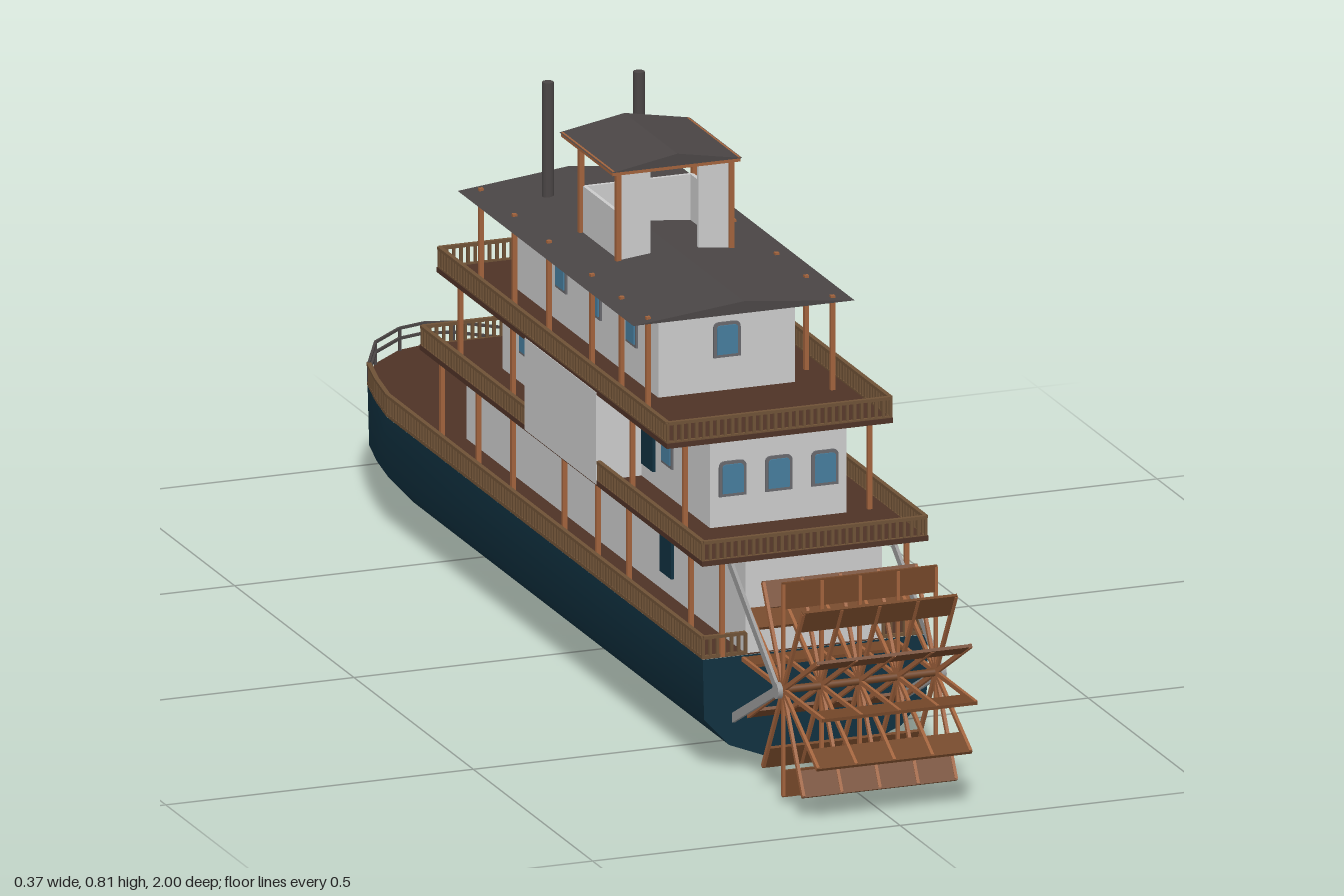
import * as THREE from 'three';
import { mergeGeometries, toCreasedNormals } from 'three/addons/utils/BufferGeometryUtils.js';

const mat = (name, color, side = THREE.FrontSide) => {
  const m = new THREE.MeshStandardMaterial({ color, side });
  m.name = name;
  return m;
};

export function createModel() {
  const M = {
    hull: mat('navy', 0x10303f),
    metal: mat('grey metal', 0x9a9a9a),
    wall: mat('pale wall', 0xcacaca),
    deck: mat('deck brown', 0x4e3226),
    roof: mat('roof charcoal', 0x4a4545),
    wood: mat('orange wood', 0xa0623c),
    blade: mat('paddle brown', 0x724628),
    rail: mat('railing brown', 0x6e5136),
    glass: mat('window blue', 0x467c9c),
    frame: mat('frame grey', 0x68686c),
  };
  const model = new THREE.Group();
  model.name = 'paddleSteamer';

  const add = (name, geo, material, parent = model) => {
    const m = new THREE.Mesh(geo, material);
    m.name = name;
    parent.add(m);
    return m;
  };
  // Box given by its limits on each axis
  const box = (x0, x1, y0, y1, z0, z1) =>
    new THREE.BoxGeometry(x1 - x0, y1 - y0, z1 - z0).translate((x0 + x1) / 2, (y0 + y1) / 2, (z0 + z1) / 2);
  // Square bar between two points
  const bar = (a, b, w, h = w) => {
    const d = new THREE.Vector3().subVectors(b, a);
    const g = new THREE.BoxGeometry(w, h, d.length());
    const o = new THREE.Object3D();
    o.position.copy(a).addScaledVector(d, 0.5);
    o.lookAt(b);
    o.updateMatrix();
    return g.applyMatrix4(o.matrix);
  };
  const V = (x, y, z) => new THREE.Vector3(x, y, z);

  // Hull: plan outlines stacked by height
  const plan = [[1, 0.645], [1, -0.1], [1, -0.68], [0.93, -0.76], [0.83, -0.84], [0.57, -0.935], [0.24, -0.988], [0, -1]];
  const outline = (w, tip) => {
    const half = plan.map(([f, z]) => [f * w, z < -0.68 ? -0.68 + (z + 0.68) * (-tip - 0.68) / 0.32 : z]);
    return [...half, ...half.slice(0, -1).reverse().map(([x, z]) => [-x, z])];
  };
  const levels = [[0, 0.04, -0.92], [0.04, 0.14, -0.955], [0.085, 0.181, -0.995], [0.18, 0.183, -1]];
  const rings = levels.map(([y, w, tip]) => outline(w, tip).map(([x, z]) => [x, y, z]));
  const n = rings[0].length, pos = [];
  for (let l = 0; l < rings.length - 1; l++) {
    for (let i = 0; i < n; i++) {
      const j = (i + 1) % n, a = rings[l][i], b = rings[l][j], c = rings[l + 1][j], d = rings[l + 1][i];
      pos.push(...a, ...b, ...c, ...a, ...c, ...d);
    }
  }
  const hullGeo = new THREE.BufferGeometry();
  hullGeo.setAttribute('position', new THREE.Float32BufferAttribute(pos, 3));
  hullGeo.computeVertexNormals();
  add('hull', toCreasedNormals(hullGeo, 0.8), M.hull);
  const flat = (w, tip, s) => new THREE.ShapeGeometry(
    new THREE.Shape(outline(w, tip).map(([x, z]) => new THREE.Vector2(x, s * z))));
  add('hullBottom', flat(0.04, -0.92, 1).rotateX(Math.PI / 2), M.metal);
  add('mainDeck', flat(0.183, -1, -1).rotateX(-Math.PI / 2).translate(0, 0.1805, 0), M.deck);

  // Upper decks and cabins
  add('secondDeck', box(-0.184, 0.184, 0.328, 0.336, -0.54, 0.645), M.deck);
  add('thirdDeck', box(-0.184, 0.184, 0.472, 0.48, -0.468, 0.497), M.deck);
  add('lowerCabin', box(-0.111, 0.111, 0.18, 0.328, -0.53, 0.638), M.wall);
  add('middleCabin', box(-0.111, 0.111, 0.336, 0.472, -0.38, 0.49), M.wall);
  add('middleSideBays', box(-0.185, 0.185, 0.33, 0.476, -0.096, 0.203), M.wall);
  add('upperCabin', box(-0.111, 0.111, 0.48, 0.63, -0.32, 0.273), M.wall);

  // Shallow gable roofs
  const gable = (w, eave, ridge, z0, z1) => new THREE.ExtrudeGeometry(
    new THREE.Shape([V(-w, eave, 0), V(w, eave, 0), V(0, ridge, 0)].map(p => new THREE.Vector2(p.x, p.y))),
    { depth: z1 - z0, bevelEnabled: false }).translate(0, 0, z0);
  add('mainRoof', gable(0.18, 0.623, 0.642, -0.39, 0.346), M.roof);
  add('pilotRoof', gable(0.106, 0.776, 0.795, -0.155, 0.067), M.roof);

  // Pilot house: low walls, tall front panels, posts and roof frame
  const pz0 = -0.1, pz1 = 0.055;
  add('pilotWalls', mergeGeometries([
    box(-0.09, 0.09, 0.625, 0.706, pz0, pz0 + 0.006),
    ...[-1, 1].flatMap(s => [
      box(s * 0.087 - 0.003, s * 0.087 + 0.003, 0.625, 0.706, pz0, pz1),
      box(s * 0.065 - 0.026, s * 0.065 + 0.026, 0.625, 0.77, pz1 - 0.006, pz1),
    ])]), M.wall);
  add('pilotFrame', mergeGeometries([-1, 1].flatMap(s => [
    ...[pz0, pz1].map(z => box(s * 0.092 - 0.004, s * 0.092 + 0.004, 0.625, 0.772, z - 0.004, z + 0.004)),
    box(s * 0.1 - 0.004, s * 0.1 + 0.004, 0.77, 0.777, -0.15, 0.062),
    box(-0.104, 0.104, 0.77, 0.777, s < 0 ? -0.152 : 0.056, s < 0 ? -0.144 : 0.064),
  ])), M.wood);

  // Chimneys
  for (const s of [-1, 1]) {
    add('chimney', new THREE.CylinderGeometry(0.009, 0.009, 0.2, 12).translate(s * 0.074, 0.715, -0.285), M.roof);
  }

  // Deck posts
  const posts = [];
  const postRow = (y0, y1, zs) => zs.forEach(z => [-1, 1].forEach(s =>
    posts.push(box(s * 0.15 - 0.0035, s * 0.15 + 0.0035, y0, y1, z - 0.0035, z + 0.0035))));
  postRow(0.18, 0.328, [0.64, 0.51, 0.31 - 0.06, 0.12, -0.02, -0.235, -0.38, -0.532]);
  postRow(0.336, 0.472, [0.485, 0.265, -0.15, -0.235, -0.455]);
  postRow(0.48, 0.63, [0.33, 0.22, 0.096, -0.085, -0.23, -0.37]);
  add('deckPosts', mergeGeometries(posts), M.wood);

  // Railings with close spindles along a path of [x, z] points
  const railing = (name, path, y) => {
    const parts = [];
    for (let i = 0; i < path.length - 1; i++) {
      const a = V(path[i][0], y, path[i][1]), b = V(path[i + 1][0], y, path[i + 1][1]);
      const up = h => [a.clone().setY(y + h), b.clone().setY(y + h)];
      parts.push(bar(...up(0.034), 0.007, 0.005), bar(...up(0.003), 0.005, 0.005));
      const count = Math.max(1, Math.round(a.distanceTo(b) / 0.0115));
      for (let k = 0; k < count; k++) {
        const p = a.clone().lerp(b, k / count);
        parts.push(new THREE.BoxGeometry(0.0045, 0.034, 0.0045).translate(p.x, y + 0.017, p.z));
      }
    }
    add(name, mergeGeometries(parts), M.rail);
  };
  const e = 0.181;
  for (const s of [-1, 1]) {
    railing('mainDeckRailing', [[s * 0.112, 0.641], [s * e, 0.641], [s * e, -0.68], [s * 0.168, -0.76], [s * 0.15, -0.84]], 0.18);
  }
  railing('secondDeckSternRailing', [[-e, 0.203], [-e, 0.641], [e, 0.641], [e, 0.203]], 0.331);
  railing('secondDeckBowRailing', [[-e, -0.096], [-e, -0.536], [e, -0.536], [e, -0.096]], 0.331);
  railing('thirdDeckRailing', [[-e, 0.493], [e, 0.493], [e, -0.464], [-e, -0.464], [-e, 0.493]], 0.477);

  // Thin rails round the bow
  const bow = outline(0.181, -0.997).filter(([, z]) => z < -0.83);
  const bowParts = [];
  for (const y of [0.2, 0.216]) {
    for (let i = 0; i < bow.length - 1; i++) {
      bowParts.push(bar(V(bow[i][0], y, bow[i][1]), V(bow[i + 1][0], y, bow[i + 1][1]), 0.004));
    }
  }
  bow.forEach(([x, z]) => bowParts.push(box(x - 0.002, x + 0.002, 0.18, 0.216, z - 0.002, z + 0.002)));
  add('bowRails', mergeGeometries(bowParts), M.roof);

  // Windows and doors: arched plates on the walls
  const arch = (w, h, r, depth) => {
    const s = new THREE.Shape();
    s.moveTo(-w, -h); s.lineTo(w, -h); s.lineTo(w, h - r);
    s.quadraticCurveTo(w, h, w - r, h); s.lineTo(r - w, h);
    s.quadraticCurveTo(-w, h, -w, h - r);
    return new THREE.ExtrudeGeometry(s, { depth, bevelEnabled: false, curveSegments: 5 });
  };
  const onWall = (name, angle, x, y, z) => {
    const g = new THREE.Group();
    g.name = name;
    g.position.set(x, y, z);
    g.rotation.y = angle;
    model.add(g);
    return g;
  };
  const windowAt = (...at) => {
    const g = onWall('window', ...at);
    add('windowFrame', arch(0.022, 0.028, 0.01, 0.003), M.frame, g);
    add('windowPane', arch(0.017, 0.023, 0.006, 0.005), M.glass, g);
  };
  const doorAt = (...at) =>
    add('sideDoor', arch(0.024, 0.036, 0.016, 0.005), M.hull, onWall('door', ...at));
  for (const s of [-1, 1]) {
    const a = s * Math.PI / 2, x = s * 0.111;
    for (const z of [0.315, -0.13, -0.28]) windowAt(a, x, 0.412, z);
    for (const z of [0.165, 0.015, -0.13]) windowAt(a, x, 0.561, z);
    doorAt(a, x, 0.247, 0.315);
    doorAt(a, x, 0.395, 0.238);
    doorAt(a, x, 0.395, -0.205);
  }
  for (const x of [-0.075, 0, 0.075]) {
    windowAt(0, x, 0.412, 0.49);
    windowAt(Math.PI, x, 0.412, -0.38);
    windowAt(Math.PI, x, 0.561, -0.32);
  }
  windowAt(0, 0, 0.561, 0.273);
  const bowDoor = onWall('bowDoor', Math.PI, 0, 0.23, -0.53);
  add('doorFrame', arch(0.026, 0.048, 0.003, 0.004), M.frame, bowDoor);
  add('doorPanel', arch(0.02, 0.043, 0.003, 0.006), M.wall, bowDoor);
  add('doorPorthole', new THREE.CylinderGeometry(0.009, 0.009, 0.008, 14).rotateX(Math.PI / 2).translate(0, 0.015, 0.004), M.frame, bowDoor);

  // Stern paddle wheel
  const wheel = new THREE.Group();
  wheel.name = 'paddleWheel';
  wheel.position.set(0, 0.18, 0.83);
  model.add(wheel);
  const spokes = [], blades = [];
  for (let i = 0; i < 12; i++) {
    const turn = i * Math.PI / 6;
    blades.push(box(-0.126, 0.126, 0.128, 0.17, -0.0025, 0.0025).rotateX(turn));
    for (const x of [-0.124, -0.062, 0, 0.062, 0.124]) {
      spokes.push(box(x - 0.0025, x + 0.0025, 0, 0.168, -0.0035, 0.0035).rotateX(turn));
    }
  }
  add('spokes', mergeGeometries(spokes), M.wood, wheel);
  add('paddleBlades', mergeGeometries(blades), M.blade, wheel);
  add('axle', new THREE.CylinderGeometry(0.006, 0.006, 0.27, 10).rotateZ(Math.PI / 2), M.blade, wheel);

  // Wheel support arms
  for (const s of [-1, 1]) {
    const x = s * 0.133, hub = V(x, 0.18, 0.83);
    add('wheelArms', mergeGeometries([
      bar(V(x, 0.325, 0.63), hub, 0.005, 0.014),
      bar(V(x, 0.075, 0.63), hub, 0.005, 0.014),
    ]), M.metal);
    add('wheelBearing', new THREE.CylinderGeometry(0.013, 0.013, 0.008, 12).rotateZ(Math.PI / 2).translate(x, 0.18, 0.83), M.metal);
  }
  return model;
}
